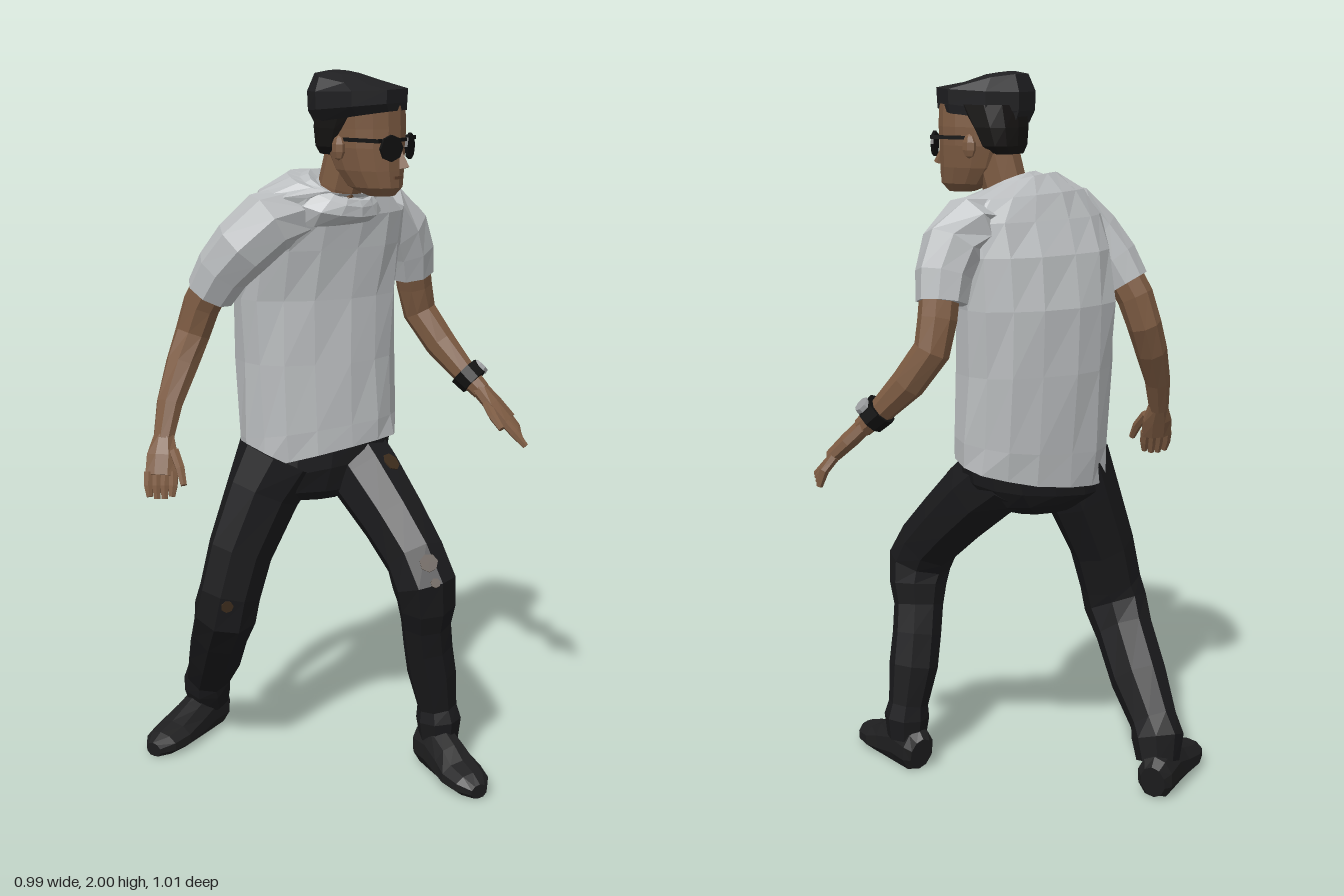
import * as THREE from 'three';

const V = (x, y, z) => new THREE.Vector3(x, y, z);
const mat = (name, color) => {
  const m = new THREE.MeshStandardMaterial({ color, flatShading: true });
  m.name = name;
  return m;
};

// Skin closed rings of points with quads and cap both ends.
function skinRings(rings) {
  const n = rings[0].length, pos = [];
  const tri = (...ps) => ps.forEach((p) => pos.push(p.x, p.y, p.z));
  const mid = (r) => r.reduce((s, p) => s.add(p), V(0, 0, 0)).divideScalar(n);
  const first = rings[0], last = rings[rings.length - 1];
  const m0 = mid(first), m1 = mid(last);
  for (let j = 0; j < n; j++) {
    const k = (j + 1) % n;
    for (let i = 0; i < rings.length - 1; i++) {
      const a = rings[i], b = rings[i + 1];
      tri(a[j], a[k], b[k]);
      tri(a[j], b[k], b[j]);
    }
    tri(m0, first[k], first[j]);
    tri(m1, last[j], last[k]);
  }
  const g = new THREE.BufferGeometry();
  g.setAttribute('position', new THREE.Float32BufferAttribute(pos, 3));
  g.computeVertexNormals();
  return g;
}

// Tube along stations [x, y, z, r, r2]; r is measured along the side vector.
function limbGeo(st, side = V(1, 0, 0), n = 8) {
  const c = st.map((s) => V(s[0], s[1], s[2]));
  return skinRings(st.map((s, i) => {
    const t = c[Math.min(i + 1, c.length - 1)].clone().sub(c[Math.max(i - 1, 0)]).normalize();
    const u = side.clone().addScaledVector(t, -side.dot(t)).normalize();
    const v = t.clone().cross(u);
    return Array.from({ length: n }, (_, j) => {
      const a = ((j + 0.5) / n) * Math.PI * 2;
      return c[i].clone().addScaledVector(u, Math.cos(a) * s[3] * 1.03)
        .addScaledVector(v, Math.sin(a) * (s[4] ?? s[3]) * 1.03);
    });
  }));
}

// Upright stack of ovals [x, y, z, halfWidth, halfDepth, tilt, yaw].
// A positive tilt lifts the front edge; fold gives a shallow cloth ripple.
function stackGeo(st, n = 14, fold = 0) {
  return skinRings(st.map(([x, y, z, w, d, tilt = 0, yaw = 0], i) => {
    const cs = Math.cos(yaw), sn = Math.sin(yaw);
    return Array.from({ length: n }, (_, j) => {
      const a = ((j + 0.5) / n) * Math.PI * 2, sq = (q) => Math.sign(q) * Math.abs(q) ** 0.9;
      const k = 1 + fold * Math.sin(j * 2.4 + i * 1.9);
      const p = sq(Math.cos(a)) * w * k, q = -sq(Math.sin(a)) * d * k;
      const dz = p * sn + q * cs;
      return V(x + p * cs - q * sn, y + tilt * dz, z + dz);
    });
  }));
}

export function createModel() {
  const root = new THREE.Group();
  root.name = 'walkingMan';
  const shirt = mat('shirtGrey', 0xbabdbf), skin = mat('skinBrown', 0x7e5c43);
  const pants = mat('trouserBlack', 0x1a1a1c), shoeMat = mat('shoeBlack', 0x1f1f20);
  const capMat = mat('capBlack', 0x202022), hairMat = mat('hairBlack', 0x171514);
  const black = mat('glassesBlack', 0x111111), metal = mat('watchMetal', 0x9a9c9e);
  const lip = mat('lipBrown', 0x64442f), worn = mat('wornPatchBrown', 0x3e2d1d);
  const add = (name, geo, m, parent = root) => {
    const o = new THREE.Mesh(geo, m);
    o.name = name;
    parent.add(o);
    return o;
  };

  // Shirt body, twisting a little from hem to shoulders
  add('shirtBody', stackGeo([
    [0.045, 0.92, -0.07, 0.228, 0.134, 0.28, 0.6],
    [0.045, 1.0, -0.075, 0.228, 0.138, 0.16, 0.6],
    [0.045, 1.2, -0.084, 0.228, 0.142, 0, 0.6],
    [0.045, 1.38, -0.086, 0.236, 0.142, 0, 0.58],
    [0.037, 1.52, -0.066, 0.245, 0.135, 0, 0.5],
    [0.025, 1.61, -0.04, 0.252, 0.12, 0, 0.42],
    [0.008, 1.67, -0.025, 0.2, 0.108, -0.08, 0.36],
    [-0.005, 1.7, 0, 0.122, 0.094, -0.3, 0.3],
    [-0.005, 1.685, 0.03, 0.07, 0.06, -0.45, 0.3],
  ], 16, 0.02), shirt);
  // Draped neckband
  add('collar', stackGeo([
    [0, 1.59, 0, 0.14, 0.085, 0, 0.2],
    [-0.002, 1.645, 0.012, 0.142, 0.11, -0.3, 0.2],
    [-0.004, 1.68, 0.028, 0.108, 0.094, -0.45, 0.2],
    [-0.004, 1.693, 0.034, 0.088, 0.08, -0.48, 0.2],
    [-0.004, 1.68, 0.036, 0.06, 0.06, -0.45, 0.2],
  ], 14, 0.02), shirt);
  // Sleeves
  add('rightSleeve', limbGeo([
    [-0.1, 1.62, -0.05, 0.075], [-0.185, 1.6, -0.075, 0.086], [-0.225, 1.535, -0.13, 0.083],
    [-0.243, 1.47, -0.185, 0.074], [-0.25, 1.405, -0.225, 0.066]]), shirt);
  add('leftSleeve', limbGeo([
    [0.12, 1.615, 0.0, 0.07], [0.215, 1.6, 0.03, 0.08], [0.28, 1.55, 0.045, 0.08],
    [0.315, 1.48, 0.05, 0.074], [0.336, 1.41, 0.045, 0.067]]), shirt);

  // Bare arms
  add('rightArm', limbGeo([
    [-0.247, 1.46, -0.2, 0.052], [-0.255, 1.37, -0.252, 0.051], [-0.265, 1.29, -0.277, 0.048],
    [-0.305, 1.21, -0.283, 0.045], [-0.365, 1.11, -0.28, 0.036],
    [-0.408, 1.02, -0.268, 0.028]]), skin);
  add('leftArm', limbGeo([
    [0.335, 1.45, 0.05, 0.052], [0.36, 1.37, 0.045, 0.051], [0.382, 1.29, 0.05, 0.048],
    [0.395, 1.2, 0.115, 0.045], [0.402, 1.12, 0.195, 0.034],
    [0.41, 1.07, 0.25, 0.027]]), skin);

  // Hands: flat palm, then four fingers and a thumb given by root, knuckle and tip
  const hand = (name, palm, across, fingers) => {
    const g = new THREE.Group();
    g.name = name;
    root.add(g);
    add('palm', limbGeo(palm, across), skin, g);
    for (const f of fingers) {
      add('finger', limbGeo(f.map((p, i) => [...p, [0.014, 0.013, 0.009][i]]), across, 6), skin, g);
    }
  };
  hand('rightHand', [[-0.405, 1.03, -0.268, 0.028, 0.025], [-0.427, 0.98, -0.256, 0.044, 0.024],
    [-0.446, 0.93, -0.246, 0.045, 0.02]], V(0.6, 0, 0.8), [
    ...[-1.5, -0.5, 0.5, 1.5].map((k) => [[-0.446 + 0.013 * k, 0.94, -0.246 + 0.018 * k],
      [-0.458 + 0.013 * k, 0.905, -0.238 + 0.018 * k],
      [-0.466 + 0.012 * k, 0.868 + 0.006 * Math.abs(k), -0.232 + 0.016 * k]]),
    [[-0.415, 0.995, -0.225], [-0.432, 0.955, -0.19], [-0.445, 0.915, -0.168]]]);
  hand('leftHand', [[0.408, 1.08, 0.24, 0.027, 0.024], [0.418, 1.035, 0.285, 0.043, 0.024],
    [0.43, 0.99, 0.33, 0.047, 0.02]], V(1, 0, -0.25), [
    ...[0, 1, 2, 3].map((i) => [[0.398 + 0.022 * i, 0.995, 0.33 - 0.008 * i],
      [0.405 + 0.026 * i, 0.96, 0.365 - 0.013 * i],
      [0.412 + 0.025 * i, 0.925 - 0.003 * i, 0.4 - 0.02 * i]]),
    [[0.39, 1.04, 0.28], [0.368, 1.01, 0.315], [0.357, 0.98, 0.35]]]);

  // Wristwatch
  add('watchStrap', limbGeo([[0.4, 1.125, 0.195, 0.046], [0.406, 1.095, 0.228, 0.043]], V(1, 0, 0), 10), black);
  const dial = add('watchDial', new THREE.CylinderGeometry(0.022, 0.025, 0.012, 8), metal);
  dial.position.set(0.432, 1.137, 0.234);
  dial.rotation.set(0.6, 0, -0.6);

  // Trousers
  add('hips', stackGeo([
    [0.02, 0.8, -0.085, 0.1, 0.08, 0, 0.6], [0.025, 0.83, -0.083, 0.17, 0.11, 0, 0.6],
    [0.035, 0.88, -0.076, 0.21, 0.126, 0.2, 0.6], [0.045, 0.95, -0.073, 0.215, 0.126, 0.28, 0.6]]), pants);
  const leftLeg = add('leftTrouserLeg', limbGeo([
    [0.125, 0.92, -0.035, 0.1, 0.11], [0.103, 0.85, 0.055, 0.104, 0.102], [0.078, 0.75, 0.163, 0.094, 0.092],
    [0.05, 0.66, 0.255, 0.086], [0.036, 0.595, 0.295, 0.086, 0.09], [0.052, 0.53, 0.293, 0.081],
    [0.066, 0.47, 0.284, 0.07], [0.09, 0.39, 0.277, 0.069], [0.115, 0.3, 0.275, 0.066, 0.07],
    [0.139, 0.19, 0.28, 0.056], [0.141, 0.15, 0.285, 0.064], [0.143, 0.087, 0.285, 0.055]]), pants);
  const rightLeg = add('rightTrouserLeg', limbGeo([
    [-0.07, 0.92, -0.13, 0.112, 0.12], [-0.108, 0.82, -0.16, 0.11, 0.102], [-0.172, 0.655, -0.194, 0.098, 0.089],
    [-0.203, 0.535, -0.209, 0.095, 0.085], [-0.209, 0.472, -0.223, 0.092, 0.09], [-0.18, 0.4, -0.265, 0.082],
    [-0.115, 0.29, -0.34, 0.08], [-0.06, 0.19, -0.411, 0.066], [-0.045, 0.15, -0.431, 0.072],
    [-0.025, 0.087, -0.441, 0.059]]), pants);
  // Worn patches laid on the front of the cloth
  root.updateMatrixWorld(true);
  for (const [leg, x, y, r] of [[leftLeg, 0.105, 0.905, 0.028], [leftLeg, 0.0, 0.67, 0.026],
    [leftLeg, -0.01, 0.62, 0.014], [rightLeg, -0.275, 0.52, 0.018]]) {
    const hit = new THREE.Raycaster(V(x, y, 1), V(0, 0, -1)).intersectObject(leg)[0];
    if (!hit) continue;
    const patch = add('wornPatch', new THREE.CylinderGeometry(r, r, 0.006, 7), worn);
    patch.position.copy(hit.point);
    patch.quaternion.setFromUnitVectors(V(0, 1, 0), hit.face.normal);
  }

  // Shoes run from heel to toe along local z, flattened on the ground
  const shoe = (name, x, z, yaw, len) => {
    const geo = limbGeo([
      [0, 0.05, 0, 0.035, 0.05], [0, 0.055, 0.02, 0.051, 0.065], [0, 0.06, 0.09, 0.054, 0.073],
      [0, 0.045, 0.16, 0.058, 0.06], [0, 0.034, len - 0.1, 0.064, 0.043], [0, 0.028, len - 0.04, 0.053, 0.036],
      [0, 0.022, len, 0.025, 0.023]], V(1, 0, 0), 10);
    const p = geo.attributes.position;
    for (let i = 0; i < p.count; i++) p.setY(i, Math.max(0, p.getY(i)));
    geo.computeVertexNormals();
    const o = add(name, geo, shoeMat);
    o.position.set(x, 0, z);
    o.rotation.y = yaw;
  };
  shoe('leftShoe', 0.168, 0.222, -0.5, 0.315);
  shoe('rightShoe', 0.045, -0.455, -1.5, 0.345);

  // Neck and head
  add('neck', limbGeo([[-0.005, 1.64, 0.015, 0.055], [-0.003, 1.69, 0.034, 0.06], [0, 1.79, 0.062, 0.062]]), skin);
  add('head', stackGeo([
    [0, 1.672, 0.165, 0.034, 0.037], [0, 1.695, 0.145, 0.06, 0.077], [0, 1.74, 0.125, 0.076, 0.098],
    [0, 1.8, 0.112, 0.086, 0.112], [0, 1.85, 0.11, 0.088, 0.116], [-0.005, 1.91, 0.11, 0.088, 0.117]]), skin);
  add('hair', stackGeo([
    [-0.003, 1.778, 0.032, 0.06, 0.046], [-0.003, 1.8, 0.04, 0.084, 0.06],
    [-0.005, 1.85, 0.056, 0.095, 0.08], [-0.008, 1.91, 0.08, 0.1, 0.1]], 12), hairMat);
  add('cap', stackGeo([
    [-0.012, 1.878, 0.105, 0.102, 0.128, 0.16], [-0.022, 1.905, 0.102, 0.117, 0.135, 0.1],
    [-0.022, 1.948, 0.102, 0.119, 0.137, 0.04], [-0.022, 1.976, 0.08, 0.094, 0.095, -0.16],
    [-0.02, 1.992, 0.06, 0.045, 0.04, -0.15]], 8), capMat);
  const nose = add('nose', new THREE.ConeGeometry(0.019, 0.065, 4), skin);
  nose.position.set(0, 1.778, 0.228);
  nose.rotation.x = -0.25;
  add('mouth', new THREE.BoxGeometry(0.042, 0.008, 0.008), lip).position.set(0, 1.722, 0.219);

  // Ears and sunglasses, mirrored
  const glasses = new THREE.Group();
  glasses.name = 'sunglasses';
  root.add(glasses);
  for (const s of [-1, 1]) {
    const ear = add(s > 0 ? 'leftEar' : 'rightEar', new THREE.SphereGeometry(0.03, 6, 5), skin);
    ear.scale.set(0.4, 1.1, 0.7);
    ear.position.set(s * 0.094, 1.8, 0.092);
    const lens = add('lens', new THREE.CylinderGeometry(0.038, 0.038, 0.008, 8), black, glasses);
    lens.rotation.set(Math.PI / 2, 0, s * -0.3);
    lens.scale.z = 0.92;
    lens.position.set(s * 0.045, 1.802, 0.226);
    add('temple', new THREE.BoxGeometry(0.006, 0.01, 0.125), black, glasses)
      .position.set(s * 0.087, 1.822, 0.152);
    add('hinge', new THREE.BoxGeometry(0.016, 0.01, 0.008), black, glasses)
      .position.set(s * 0.082, 1.822, 0.212);
  }
  add('bridge', new THREE.BoxGeometry(0.03, 0.009, 0.008), black, glasses).position.set(0, 1.822, 0.232);

  return root;
}
